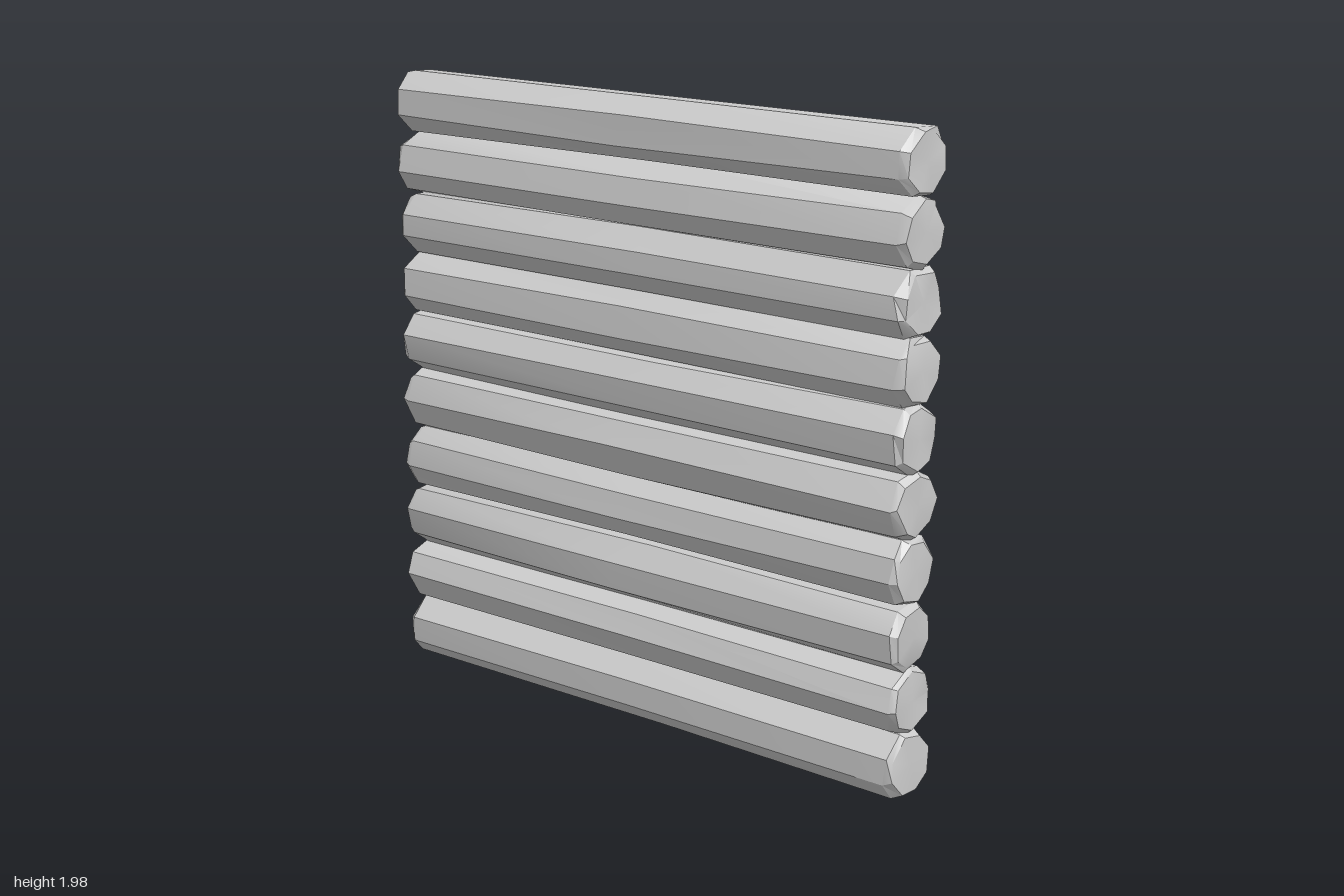
import * as THREE from 'three';
import { toCreasedNormals } from 'three/addons/utils/BufferGeometryUtils.js';

const SIDES = 8;

// small seeded generator, returns -1..1
function makeRandom(seed) {
  let s = seed;
  return () => {
    s = (s * 16807) % 2147483647;
    return (s / 2147483647) * 2 - 1;
  };
}

// one rough-hewn log along x: irregular rings with bevelled, capped ends
function logGeometry(cy, phase, rnd) {
  // x position, x jitter, radius, radius jitter
  const stations = [
    [-0.988, 0.008, 0.092, 0.004],
    [-0.965, 0.012, 0.108, 0.004],
    [0, 0.1, 0.109, 0.004],
    [0.965, 0.012, 0.108, 0.004],
    [0.988, 0.008, 0.092, 0.004],
  ];
  const turn = Array.from({ length: SIDES }, () => rnd() * 0.1);
  const positions = [];
  for (const [x, dx, r, dr] of stations) {
    for (let j = 0; j < SIDES; j++) {
      const a = phase + ((j + 0.5) / SIDES) * Math.PI * 2 + turn[j] + rnd() * 0.06;
      const rad = r + rnd() * dr;
      const y = THREE.MathUtils.clamp(cy + Math.sin(a) * rad, 0, 1.985);
      positions.push(x + rnd() * dx, y, Math.cos(a) * rad);
    }
  }
  const index = [];
  for (let i = 0; i < stations.length - 1; i++) {
    for (let j = 0; j < SIDES; j++) {
      const k = (j + 1) % SIDES;
      const a = i * SIDES + j, b = i * SIDES + k;
      index.push(a, a + SIDES, b, b, a + SIDES, b + SIDES);
    }
  }
  // end caps
  const first = positions.length / 3;
  positions.push(-0.99, cy, 0, 0.99, cy, 0);
  const last = (stations.length - 1) * SIDES;
  for (let j = 0; j < SIDES; j++) {
    const k = (j + 1) % SIDES;
    index.push(first, j, k, first + 1, last + k, last + j);
  }
  const geo = new THREE.BufferGeometry();
  geo.setAttribute('position', new THREE.Float32BufferAttribute(positions, 3));
  geo.setIndex(index);
  return toCreasedNormals(geo, 0.5);
}

export function createModel() {
  const group = new THREE.Group();
  group.name = 'logWall';
  const material = new THREE.MeshStandardMaterial({ color: 0xcccccc });
  const rnd = makeRandom(4711);

  // ten stacked logs, each rolled a little differently
  const phases = [0.05, 0.3, -0.1, 0.2, 0.35, -0.2, 0.1, 0, 0.3, 0.05];
  phases.forEach((phase, i) => {
    const log = new THREE.Mesh(logGeometry(0.106 + i * 0.198, phase, rnd), material);
    log.name = `log${i + 1}`;
    group.add(log);
  });
  return group;
}
